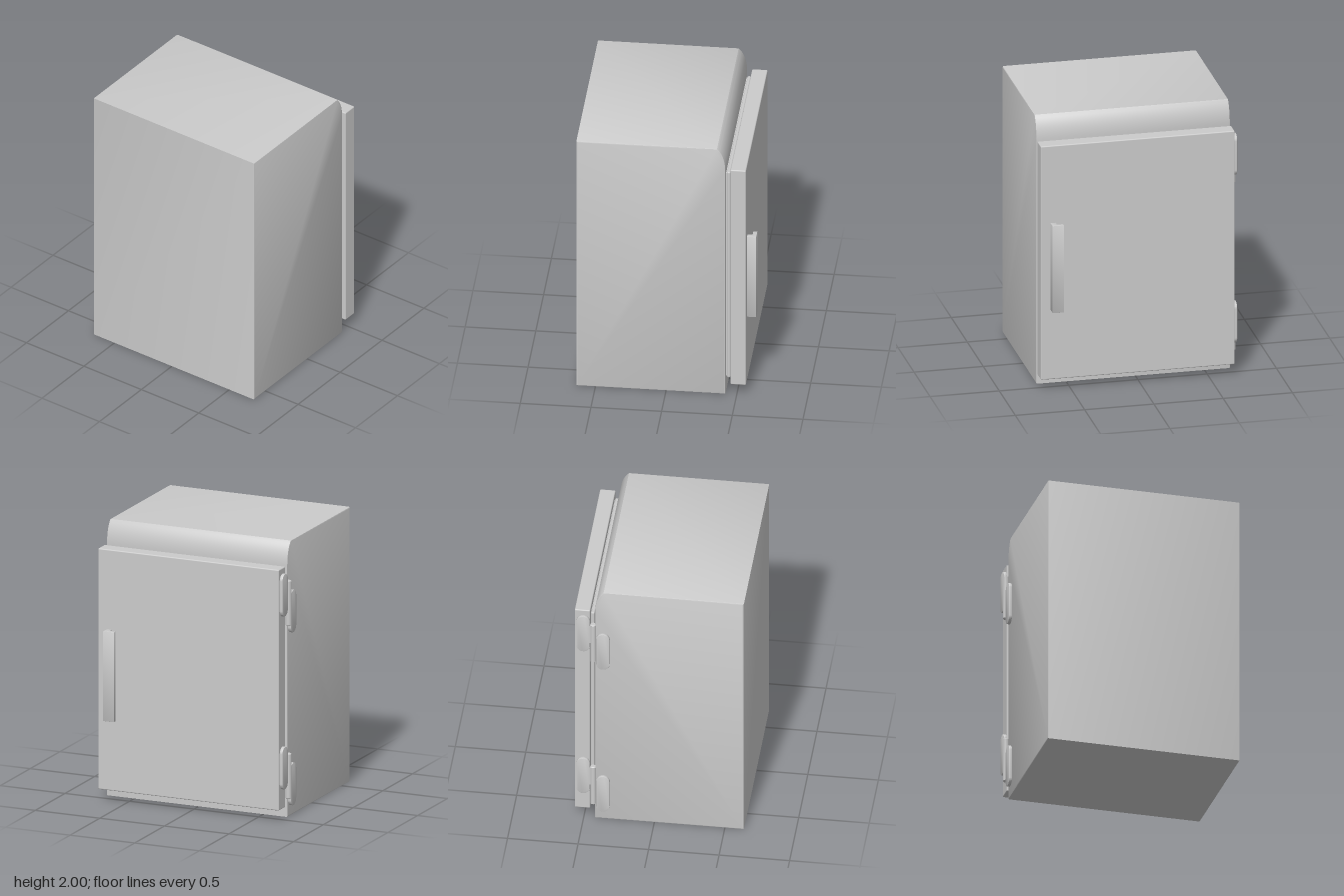
import * as THREE from 'three';
import { RoundedBoxGeometry } from 'three/addons/geometries/RoundedBoxGeometry.js';
import { toCreasedNormals } from 'three/addons/utils/BufferGeometryUtils.js';

const material = new THREE.MeshStandardMaterial({ color: 0xcccccc });

function add(parent, name, geometry) {
  const mesh = new THREE.Mesh(geometry, material);
  mesh.name = name;
  parent.add(mesh);
  return mesh;
}

// Box given by its limits on each axis, with optional softened edges
function box(parent, name, [x0, x1], [y0, y1], [z0, z1], radius = 0) {
  const size = [x1 - x0, y1 - y0, z1 - z0];
  const geometry = radius
    ? new RoundedBoxGeometry(...size, 2, radius)
    : new THREE.BoxGeometry(...size);
  const mesh = add(parent, name, geometry);
  mesh.position.set((x0 + x1) / 2, (y0 + y1) / 2, (z0 + z1) / 2);
  return mesh;
}

// Extrude a shape from z0 to z1 with a small bevel that keeps the outline size
function extrude(parent, name, shape, z0, z1, bevel) {
  const geometry = new THREE.ExtrudeGeometry(shape, {
    depth: z1 - z0 - 2 * bevel, bevelEnabled: true, bevelThickness: bevel,
    bevelSize: bevel, bevelOffset: -bevel, bevelSegments: 2, curveSegments: 16,
  });
  geometry.translate(0, 0, z0 + bevel);
  return add(parent, name, toCreasedNormals(geometry, 0.5));
}

// Upright plate with rounded ends
function plateShape(x0, x1, y0, y1) {
  const r = (x1 - x0) / 2, cx = (x0 + x1) / 2;
  const shape = new THREE.Shape();
  shape.absarc(cx, y1 - r, r, 0, Math.PI);
  shape.absarc(cx, y0 + r, r, Math.PI, Math.PI * 2);
  shape.closePath();
  return shape;
}

// Hinge with the body leaf set lower than the door leaf
function hinge(parent, name, y) {
  const group = new THREE.Group();
  group.name = name;
  group.position.y = y;
  parent.add(group);
  extrude(group, 'bodyLeaf', plateShape(0.315, 0.41, 0, 0.31), -0.707, -0.683, 0.004);
  extrude(group, 'doorLeaf', plateShape(0.455, 0.55, 0.15, 0.46), -0.707, -0.683, 0.004);
  box(group, 'bodyLeafTab', [0.4, 0.43], [0.08, 0.23], [-0.705, -0.69]);
  box(group, 'doorLeafTab', [0.43, 0.465], [0.23, 0.38], [-0.705, -0.69]);
  // Pin barrel
  const r = 0.021, h = 0.165, c = 0.005;
  const profile = [[0, -h], [r - c, -h], [r, -h + c], [r, h - c], [r - c, h], [0, h]]
    .map(([x, py]) => new THREE.Vector2(x, py));
  const barrel = add(group, 'hingeBarrel',
    toCreasedNormals(new THREE.LatheGeometry(profile, 24), 0.5));
  barrel.position.set(0.431, 0.23, -0.699);
}

export function createModel() {
  const model = new THREE.Group();
  model.name = 'cabinet';

  // Cabinet body with a curved upper edge on the door side
  const side = new THREE.Shape();
  side.moveTo(-0.635, 0);
  side.lineTo(0.42, 0);
  side.lineTo(0.42, 1.83);
  side.bezierCurveTo(0.42, 1.91, 0.395, 1.97, 0.36, 2);
  side.lineTo(-0.635, 2);
  side.closePath();
  extrude(model, 'body', side, -0.685, 0.715, 0.008);

  // Seal between body and door
  box(model, 'sealCore', [0.415, 0.46], [0.125, 1.785], [-0.645, 0.67]);
  box(model, 'seal', [0.427, 0.451], [0.115, 1.795], [-0.655, 0.68], 0.008);

  // Door
  box(model, 'door', [0.455, 0.565], [0.08, 1.835], [-0.685, 0.715], 0.008);

  // L-shaped handle, drawn in plan and extruded upward
  const plan = [[0.56, 0.645], [0.63, 0.645], [0.63, 0.562], [0.6, 0.562], [0.6, 0.607], [0.56, 0.607]];
  const handleShape = new THREE.Shape(plan.map(([x, z]) => new THREE.Vector2(x, -z)));
  const handle = extrude(model, 'handle', handleShape, 0.6, 1.255, 0.003);
  handle.rotation.x = -Math.PI / 2;

  hinge(model, 'upperHinge', 1.335);
  hinge(model, 'lowerHinge', 0.075);
  return model;
}
